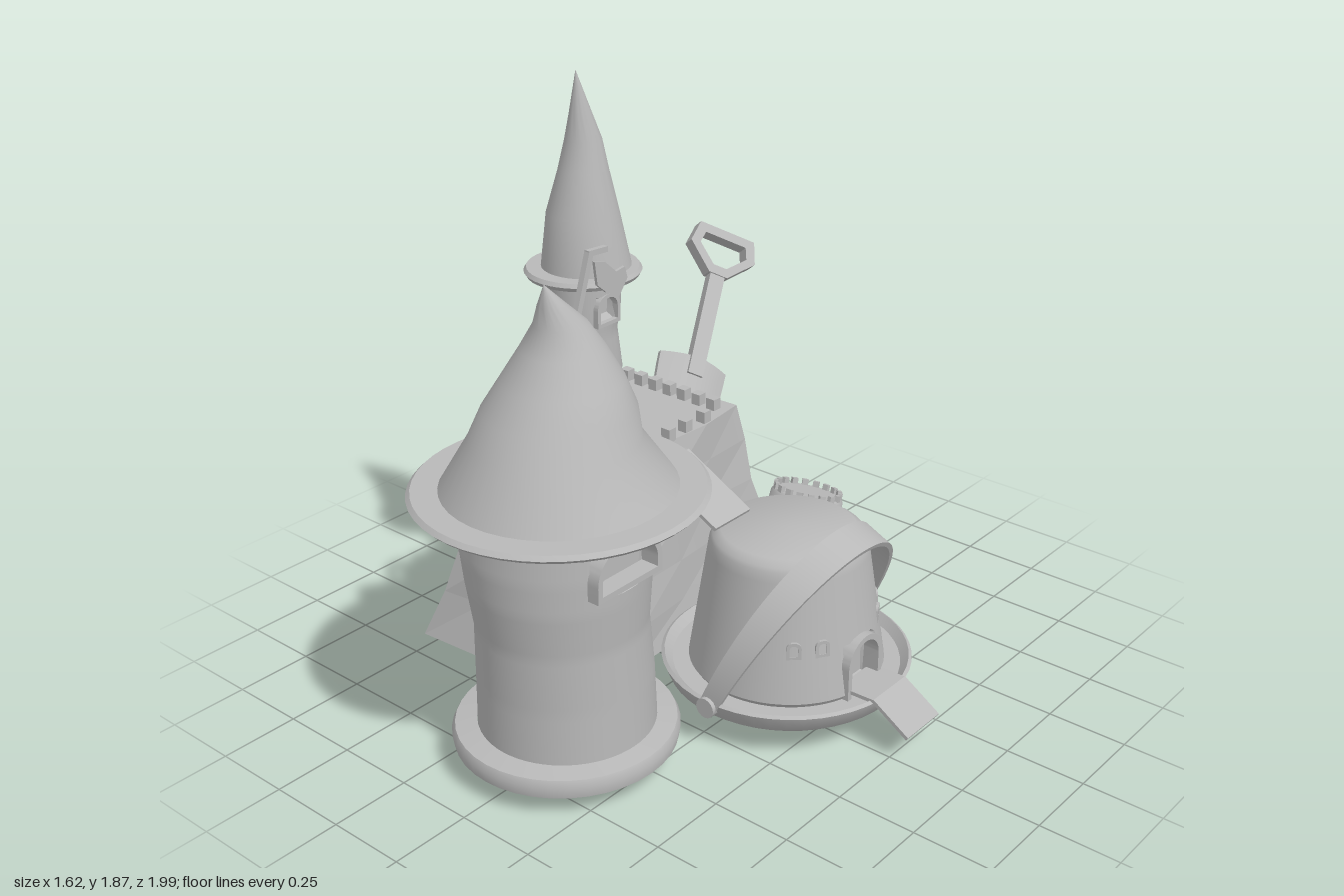
import * as THREE from 'three';
import { toCreasedNormals } from 'three/addons/utils/BufferGeometryUtils.js';

const V = (x, y, z) => new THREE.Vector3(x, y, z);
const stone = new THREE.MeshStandardMaterial({ color: 0xb8b8b8 });
stone.name = 'plain grey';

function add(parent, name, geo, crease = 0.7) {
  const mesh = new THREE.Mesh(toCreasedNormals(geo, crease), stone);
  mesh.name = name;
  parent.add(mesh);
  return mesh;
}

// Apply a rule to every vertex
function move(geo, rule) {
  const p = geo.attributes.position, v = new THREE.Vector3();
  for (let i = 0; i < p.count; i++) {
    rule(v.fromBufferAttribute(p, i));
    p.setXYZ(i, v.x, v.y, v.z);
  }
  geo.computeVertexNormals();
  return geo;
}

// Round body with a leaning axis: rows are [radius, y, shiftX, shiftZ].
// Each opening { z, y, w, h, x } presses the +x wall back to x.
function turned(rows, cx, cz, openings = [], sides = 64) {
  const fine = [rows[0]];
  for (let i = 1; i < rows.length; i++) {
    const a = rows[i - 1], b = rows[i];
    const n = openings.length ? Math.max(1, Math.ceil((b[1] - a[1]) / 0.02)) : 1;
    for (let k = 1; k <= n; k++) {
      fine.push([0, 1, 2, 3].map(j => (a[j] || 0) + ((b[j] || 0) - (a[j] || 0)) * k / n));
    }
  }
  const geo = new THREE.LatheGeometry(fine.map(r => new THREE.Vector2(r[0], r[1])), sides);
  const p = geo.attributes.position;
  for (let i = 0; i < p.count; i++) {
    const r = fine[i % fine.length], y = p.getY(i);
    let x = p.getX(i) + cx + (r[2] || 0);
    const z = p.getZ(i) + cz + (r[3] || 0);
    for (const o of openings) {
      if (x > cx && Math.abs(z - o.z) < o.w / 2 && y > o.y && y < o.y + o.h) x = Math.min(x, o.x);
    }
    p.setXYZ(i, x, y, z);
  }
  return geo;
}

// Arched outline standing on y = 0
function archPath(Type, w, h, r, y0 = 0) {
  const s = new Type();
  s.moveTo(-w / 2, y0);
  s.lineTo(w / 2, y0);
  s.lineTo(w / 2, h - r);
  s.absarc(w / 2 - r, h - r, r, 0, Math.PI / 2, false);
  s.absarc(-w / 2 + r, h - r, r, Math.PI / 2, Math.PI, false);
  s.closePath();
  return s;
}

// Arched frame facing +x
function archFrame(w, h, r, t, depth) {
  const shape = archPath(THREE.Shape, w, h, r);
  shape.holes.push(archPath(THREE.Path, w - 2 * t, h - t, r - t * 0.9, t));
  return new THREE.ExtrudeGeometry(shape, { depth, bevelEnabled: false, curveSegments: 8 }).rotateY(-Math.PI / 2);
}

// Square bar between two points
function bar(a, b, w, t = w) {
  const d = b.clone().sub(a), geo = new THREE.BoxGeometry(w, d.length(), t);
  geo.applyQuaternion(new THREE.Quaternion().setFromUnitVectors(V(0, 1, 0), d.normalize()));
  return geo.translate((a.x + b.x) / 2, (a.y + b.y) / 2, (a.z + b.z) / 2);
}

function makeHill(g) {
  // [y, x0, x1, z0, z1] from the ground up
  const rows = [[0.05, -0.77, -0.1, -0.555, 0.41], [0.18, -0.735, -0.11, -0.53, 0.36],
    [0.32, -0.70, -0.125, -0.5, 0.34], [0.46, -0.675, -0.14, -0.475, 0.325],
    [0.6, -0.66, -0.155, -0.455, 0.31], [0.725, -0.63, -0.17, -0.425, 0.285]];
  const lerp = THREE.MathUtils.lerp;
  add(g, 'hill', move(new THREE.BoxGeometry(1, 1, 1, 4, 5, 4), v => {
    const i = Math.round((v.y + 0.5) * 5), [y, x0, x1, z0, z1] = rows[i];
    const u = v.x + 0.5, w = v.z + 0.5, dent = i > 0 ? 0.012 : 0;
    v.set(lerp(x0, x1, u) + dent * Math.sin(w * 9 + i), y, lerp(z0, z1, w) + dent * Math.sin(u * 8 + i * 2));
    if (i === 0) { // the front left foot sags lower and further out
      v.y -= 0.04 * w * (1 - u);
      v.x += lerp(0.025, -0.04, w) * (1 - u);
    }
  }), 0.05);
  const spots = [];
  for (let i = 0; i < 7; i++) spots.push([-0.595 + i * 0.062, -0.365]);
  for (const z of [-0.27, -0.18, 0.12, 0.2]) spots.push([-0.61, z]);
  for (const z of [-0.27, -0.18, -0.1, 0.14, 0.2]) spots.push([-0.185, z]);
  for (const x of [-0.52, -0.425, -0.33]) spots.push([x, 0.24]);
  for (const [x, z] of spots) add(g, 'hillBattlement', new THREE.BoxGeometry(0.034, 0.05, 0.032).translate(x, 0.738, z));
}

function makeBigTower(g) {
  const win = { z: 0.59, y: 0.68, w: 0.23, h: 0.115, x: 0.205 };
  add(g, 'bigTowerBase', turned([[0, 0.08], [0.33, 0.08], [0.335, 0.115], [0.325, 0.135], [0.26, 0.145]], 0, 0.58, [], 40));
  add(g, 'bigTowerWall', turned([[0.262, 0.14, 0.005], [0.258, 0.3, 0.003], [0.25, 0.48, 0.005, 0.01],
    [0.265, 0.62, 0, 0.012], [0.276, 0.72, -0.007, 0.005], [0.27, 0.88, -0.005, 0]], 0, 0.58, [win]));
  add(g, 'bigTowerWindowFrame', archFrame(0.26, 0.14, 0.09, 0.018, 0.06).translate(0.272, 0.668, 0.59));
  add(g, 'bigTowerEaves', turned([[0, 0.868], [0.41, 0.868], [0.422, 0.88], [0.41, 0.892], [0.3, 0.892]], 0, 0.578, [], 48));
  add(g, 'bigTowerRoof', turned([[0.335, 0.89], [0.24, 1.04, 0, 0.01], [0.215, 1.12, 0, -0.01], [0.172, 1.2, 0, -0.025],
    [0.118, 1.29, 0, -0.03], [0.075, 1.36, 0, -0.025], [0.04, 1.42, 0, 0.005], [0, 1.485, 0, 0.033]], 0, 0.578, [], 40));
  // Bent flagpole and its ragged flag
  add(g, 'flagPole', bar(V(0.01, 1.34, 0.51), V(0.01, 1.535, 0.445), 0.018));
  add(g, 'flagArm', bar(V(0.01, 1.53, 0.455), V(0.01, 1.525, 0.38), 0.016));
  const flag = new THREE.Shape([[0.43, 1.5], [0.42, 1.43], [0.385, 1.4], [0.335, 1.375], [0.3, 1.42],
    [0.31, 1.455], [0.345, 1.45], [0.39, 1.49]].map(p => new THREE.Vector2(...p)));
  add(g, 'flag', new THREE.ExtrudeGeometry(flag, { depth: 0.009, bevelEnabled: false }).rotateY(-Math.PI / 2).translate(0.0145, 0, 0));
}

function makeThinTower(g) {
  const cx = -0.42, cz = 0.02;
  const wins = [0.885, 1.125].map(y => ({ z: 0.03, y, w: 0.075, h: 0.08, x: -0.345 }));
  add(g, 'thinTowerWall', turned([[0.113, 0.7], [0.11, 0.85, 0.002, 0.003], [0.107, 0.95, 0.002, -0.008],
    [0.106, 1.08, 0, 0.008], [0.113, 1.16, 0, 0], [0.114, 1.26]], cx, cz, wins));
  for (const o of wins) add(g, 'thinTowerWindowFrame', archFrame(0.1, 0.1, 0.045, 0.012, 0.04).translate(-0.306, o.y - 0.01, o.z));
  add(g, 'thinTowerEaves', turned([[0, 1.255], [0.172, 1.255], [0.18, 1.268], [0.172, 1.28], [0.12, 1.28]], cx, cz, [], 40));
  add(g, 'thinTowerRoof', turned([[0.138, 1.278, 0.003, -0.012], [0.11, 1.45, 0, -0.005], [0.076, 1.58, 0.002, -0.01],
    [0.056, 1.67, 0.003, -0.012], [0.034, 1.75, 0.003, -0.003], [0, 1.88, 0.005, 0.015]], cx, cz, [], 32));
}

function makeBucket(g) {
  const cx = 0.305, cz = -0.08;
  const door = { z: -0.075, y: 0.15, w: 0.14, h: 0.16, x: 0.54 };
  add(g, 'bucketBody', turned([[0.29, 0.145], [0.3, 0.16], [0.24, 0.55], [0.23, 0.575], [0.205, 0.592], [0, 0.592]], cx, cz, [door]));
  add(g, 'bucketRim', turned([[0, 0.1], [0.345, 0.1], [0.365, 0.115], [0.385, 0.165], [0.375, 0.172],
    [0.35, 0.145], [0.28, 0.145]], cx, cz, [], 48));
  add(g, 'doorFrame', archFrame(0.17, 0.23, 0.084, 0.018, 0.07).translate(0.602, 0.1, -0.075));
  // Small window frames in two pairs
  for (const dz of [0.205, 0.14, -0.135, -0.205]) {
    const m = add(g, 'bucketWindowFrame', archFrame(0.045, 0.055, 0.02, 0.01, 0.03));
    const a = Math.asin(dz / 0.272);
    m.position.set(cx + 0.278 * Math.cos(a), 0.3, cz + 0.278 * Math.sin(a));
    m.rotation.y = -a;
  }
  // Drawbridge bent over the rim
  const plank = (name, a, b) => add(g, name, bar(a, b, 0.012, 0.165));
  plank('drawbridgeInner', V(0.56, 0.168, -0.085), V(0.685, 0.172, -0.085));
  plank('drawbridgeOuter', V(0.68, 0.174, -0.085), V(0.805, 0.095, -0.085));
  // Walkway from the hill to the bucket top
  plank('walkwayUpper', V(-0.25, 0.7, 0.01), V(-0.08, 0.728, 0.01));
  plank('walkwayLower', V(-0.085, 0.728, 0.01), V(0.16, 0.6, 0.01));
  // Tilted carrying strap with a knob at each end
  const up = V(0.424, 0.906, 0), across = V(0.906, -0.424, 0);
  add(g, 'bucketStrap', move(new THREE.BoxGeometry(0.1, 0.016, 1, 1, 1, 36), v => {
    const a = (0.5 - v.z) * Math.PI, c = Math.cos(a), s = Math.sin(a);
    const p = V(0.305, 0.15, cz + c * (0.375 + v.y)).addScaledVector(up, s * (0.51 + v.y));
    v.copy(p.addScaledVector(across, v.x * (0.6 + 0.4 * s)));
  }));
  for (const s of [-1, 1]) {
    add(g, 'strapKnob', new THREE.CylinderGeometry(0.032, 0.032, 0.04, 16).rotateX(Math.PI / 2).translate(0.305, 0.15, cz + s * 0.375));
  }
}

function makeSmallBucket(g) {
  const b = new THREE.Group();
  b.name = 'smallBucket';
  add(b, 'smallBucketBody', turned([[0, 0], [0.165, 0], [0.182, 0.012], [0.178, 0.028], [0.165, 0.015], [0.148, 0.015],
    [0.145, 0.03], [0.12, 0.27], [0.112, 0.28], [0, 0.28]], 0, 0, [], 40));
  for (let i = 0; i < 18; i++) {
    add(b, 'smallBucketBattlement', new THREE.BoxGeometry(0.02, 0.022, 0.014).translate(0, 0.288, 0.108).rotateY(i * Math.PI / 9));
  }
  b.position.set(0.02, 0.155, -0.48);
  b.rotation.x = -0.3;
  g.add(b);
}

function makeSpade(g) {
  const s = new THREE.Group();
  s.name = 'spade';
  add(s, 'spadeShaft', new THREE.BoxGeometry(0.055, 0.4, 0.04).translate(0, 0.15, 0));
  // Scooped blade
  add(s, 'spadeBlade', move(new THREE.BoxGeometry(0.25, 0.32, 0.02, 8, 6, 1), v => {
    const low = 0.5 - v.y / 0.32;
    v.y += -0.14 + (low < 0.1 ? -0.1 * Math.abs(v.x) : 0);
    v.x *= 1 - 0.25 * low * low;
    v.z += 2.2 * v.x * v.x;
  }));
  // Open grip
  const poly = (Type, pts) => new Type(pts.map(p => new THREE.Vector2(...p)));
  const grip = poly(THREE.Shape, [[-0.035, 0.33], [0.035, 0.33], [0.125, 0.42], [0.105, 0.5], [-0.105, 0.5], [-0.125, 0.42]]);
  grip.holes.push(poly(THREE.Path, [[-0.025, 0.362], [-0.09, 0.425], [-0.078, 0.468], [0.078, 0.468], [0.09, 0.425], [0.025, 0.362]]));
  add(s, 'spadeGrip', new THREE.ExtrudeGeometry(grip, { depth: 0.05, bevelEnabled: false }).translate(0, 0, -0.025));
  const d = V(-0.3, 0.67, -0.67).normalize(), n = d.clone().negate().cross(V(-0.6, 0.5, 0.63)).negate().normalize();
  n.negate();
  const w = d.clone().cross(n).normalize();
  s.quaternion.setFromRotationMatrix(new THREE.Matrix4().makeBasis(w, d, n));
  s.position.set(-0.47, 0.75, -0.575);
  g.add(s);
}

export function createModel() {
  const g = new THREE.Group();
  g.name = 'sandCastle';
  for (const make of [makeHill, makeBigTower, makeThinTower, makeBucket, makeSmallBucket, makeSpade]) make(g);
  return g;
}
